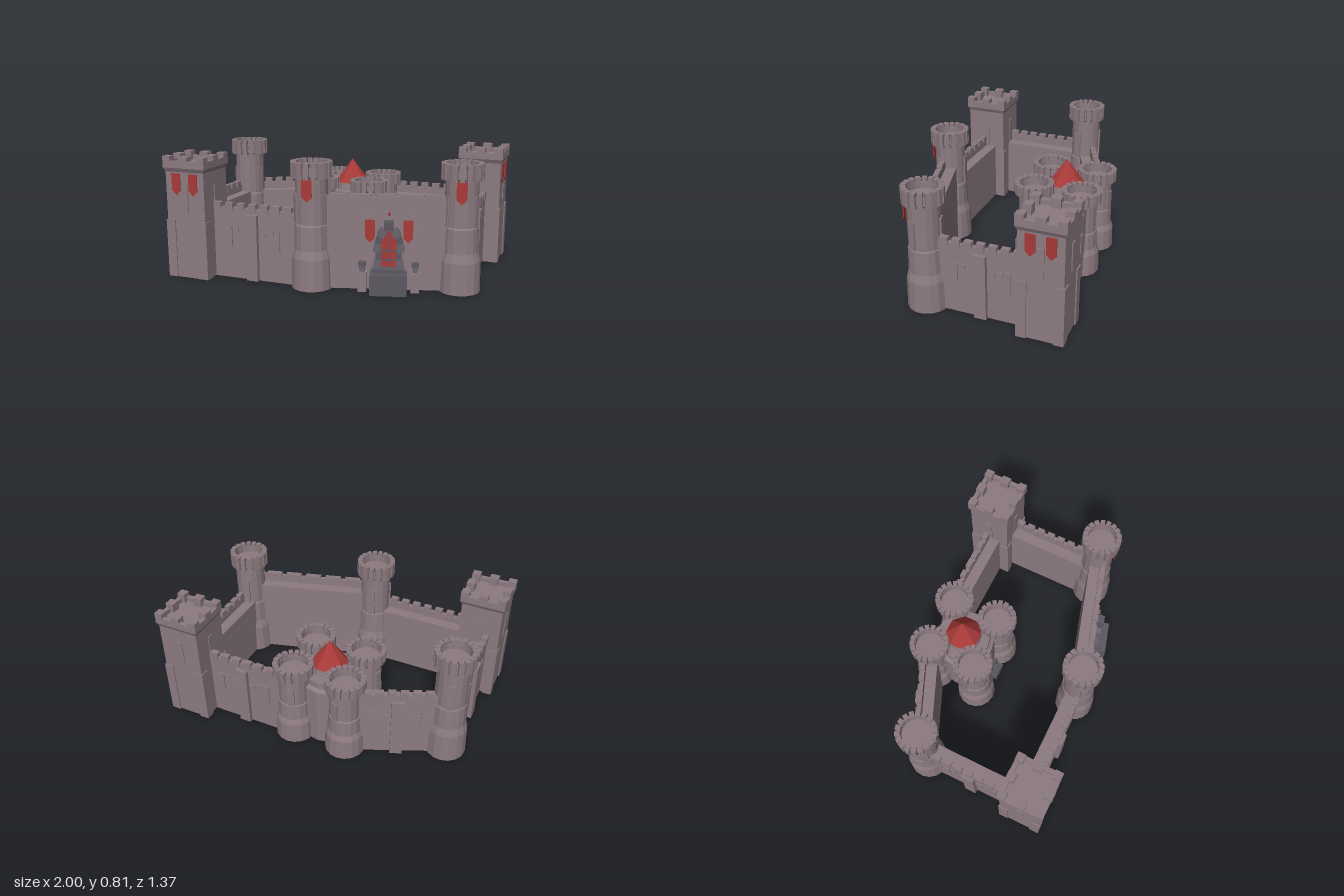
import * as THREE from 'three';

const mat = (name, color, side = THREE.FrontSide) => {
  const m = new THREE.MeshStandardMaterial({ color, side });
  m.name = name;
  return m;
};

export function createModel() {
  const stone = mat('mauve stone', 0x8c7b80, THREE.DoubleSide);
  const red = mat('banner red', 0xa83a38, THREE.DoubleSide);
  const slate = mat('dark slate', 0x5b5861);
  const trim = mat('grey trim', 0x6b656d);
  const castle = new THREE.Group();
  castle.name = 'castle';

  const group = (parent, name, x = 0, y = 0, z = 0, ry = 0) => {
    const g = new THREE.Group();
    g.name = name;
    g.position.set(x, y, z);
    g.rotation.y = ry;
    parent.add(g);
    return g;
  };
  const add = (parent, name, geo, material, x = 0, y = 0, z = 0) => {
    const flat = geo.index ? geo.toNonIndexed() : geo;
    flat.computeVertexNormals();
    const m = new THREE.Mesh(flat, material);
    m.name = name;
    m.position.set(x, y, z);
    parent.add(m);
    return m;
  };
  // Box given by its centre in x and z and by its bottom and top heights
  const box = (parent, name, material, x, z, w, d, y0, y1) =>
    add(parent, name, new THREE.BoxGeometry(w, y1 - y0, d), material, x, (y0 + y1) / 2, z);
  const lathe = (parent, name, pts, sides, material = stone) =>
    add(parent, name, new THREE.LatheGeometry(pts.map(p => new THREE.Vector2(...p)), sides), material);

  // Thin hanging banner with a pointed tail
  const banner = (parent, x, top, z, w = 0.062, h = 0.14) => {
    const s = new THREE.Shape();
    s.moveTo(-w / 2, 0);
    s.lineTo(-w / 2, -h * 0.78);
    s.lineTo(0, -h);
    s.lineTo(w / 2, -h * 0.78);
    s.lineTo(w / 2, 0);
    add(parent, 'banner', new THREE.ExtrudeGeometry(s, { depth: 0.006, bevelEnabled: false }), red, x, top, z);
  };

  // Round tower: flared foot, shaft, hollow crown with corbelled merlons
  const roundTower = (name, x, z, height, facing, hasBanner) => {
    const t = group(castle, name, x, 0, z, facing);
    const k = height / 0.81;
    const crown = height - 0.1 * (k < 1 ? 0.75 : 1);
    lathe(t, 'towerShaft', [
      [0.095, 0.25 * k], [0.11, 0], [0.133, 0], [0.128, 0.2 * k], [0.113, 0.255 * k],
      [0.109, 0.41 * k], [0.103, 0.42 * k], [0.103, crown], [0.116, crown + 0.012],
      [0.116, height - 0.028], [0.097, height - 0.028], [0.097, height - 0.065], [0, height - 0.065],
    ], 16);
    for (let i = 0; i < 18; i++) {
      const m = group(t, 'merlon', 0, 0, 0, (i / 18) * Math.PI * 2);
      box(m, 'merlonBlock', stone, 0, 0.114, 0.03, 0.034, crown, height);
    }
    for (const a of [-1.05, 1.05, Math.PI]) {
      const w = group(t, 'towerWindow', 0, 0, 0, a);
      box(w, 'windowSlab', stone, 0, 0.103, 0.045, 0.014, 0.42 * k, 0.61 * k);
    }
    if (hasBanner) banner(t, 0, 0.71, 0.113, 0.065);
  };

  // Square tower with buttressed foot and jutting battlements
  const squareTower = (name, x, z, facing) => {
    const t = group(castle, name, x, 0, z, facing);
    box(t, 'body', stone, 0, 0, 0.28, 0.28, 0.01, 0.72);
    box(t, 'footing', stone, 0, 0, 0.26, 0.26, 0, 0.02);
    for (const sx of [-1, 1]) for (const sz of [-1, 1])
      box(t, 'cornerButtress', stone, sx * 0.115, sz * 0.115, 0.065, 0.065, 0.005, 0.39);
    const flare = new THREE.CylinderGeometry(0.152 * Math.SQRT2, 0.14 * Math.SQRT2, 0.025, 4);
    flare.rotateY(Math.PI / 4);
    add(t, 'corbel', flare, stone, 0, 0.7225, 0);
    box(t, 'platform', stone, 0, 0, 0.304, 0.304, 0.735, 0.75);
    for (let i = 0; i < 4; i++) {
      const s = group(t, 'battlementSide', 0, 0, 0, i * Math.PI / 2);
      box(s, 'parapet', stone, 0, 0.137, 0.304, 0.03, 0.75, 0.78);
      box(s, 'middleMerlon', stone, 0, 0.125, 0.06, 0.054, 0.75, 0.81);
      box(s, 'cornerMerlon', stone, 0.125, 0.125, 0.054, 0.054, 0.75, 0.81);
      box(s, 'arrowWindow', stone, 0, 0.14, 0.042, 0.012, 0.44, 0.62);
    }
    for (const sx of [-1, 1]) banner(t, sx * 0.062, 0.7, 0.141);
  };

  // Curtain wall running from a to b, outside on local +z
  const wall = (name, ax, az, bx, bz, top, merlonWidth, count) => {
    const len = Math.hypot(bx - ax, bz - az);
    const w = group(castle, name, (ax + bx) / 2, 0, (az + bz) / 2, Math.atan2(az - bz, bx - ax));
    box(w, 'wallBody', stone, 0, 0, len + 0.06, 0.1, 0.005, top - 0.05);
    box(w, 'parapet', stone, 0, 0.038, len + 0.06, 0.028, top - 0.05, top);
    for (let i = 0; i < count; i++)
      box(w, 'merlon', stone, ((i + 0.5) / count - 0.5) * len, 0.04, merlonWidth, 0.036,
        top - 0.02, top + (merlonWidth > 0.08 ? 0.015 : 0.03));
    return w;
  };
  const brick = (w, x, y) => box(w, 'raisedBrick', stone, x, 0.05, 0.042, 0.014, y - 0.014, y + 0.014);
  const dressWall = (w) => {
    box(w, 'pilaster', stone, 0, 0.06, 0.08, 0.035, 0.005, 0.44);
    for (const s of [-1, 1]) {
      box(w, 'wallWindow', stone, s * 0.172, 0.05, 0.042, 0.016, 0.215, 0.35);
      brick(w, s * 0.125, 0.335);
      brick(w, s * 0.07, 0.315);
    }
  };

  // Gate: slate landing, pointed red door and a ring of arch stones
  const gate = (parent, x, z, scale) => {
    const g = group(parent, 'gate', x, 0, z);
    g.scale.setScalar(scale);
    box(g, 'landing', slate, 0, 0.055, 0.23, 0.13, 0, 0.135);
    box(g, 'landingCap', slate, 0, 0.04, 0.2, 0.1, 0.135, 0.16);
    const s = new THREE.Shape();
    s.moveTo(-0.062, 0.15);
    s.lineTo(0.062, 0.15);
    s.lineTo(0.06, 0.3);
    s.quadraticCurveTo(0.04, 0.37, 0, 0.41);
    s.quadraticCurveTo(-0.04, 0.37, -0.06, 0.3);
    add(g, 'door', new THREE.ExtrudeGeometry(s, { depth: 0.02, bevelEnabled: false }), red);
    for (const y of [0.2, 0.26]) box(g, 'doorBand', slate, 0, 0.022, 0.1, 0.006, y, y + 0.01);
    box(g, 'doorSeam', slate, 0, 0.022, 0.006, 0.006, 0.15, 0.38);
    const stones = [[0.07, 0.185, 0], [0.062, 0.235, 0], [0.072, 0.285, 0.08], [0.062, 0.335, 0.3], [0.042, 0.38, 0.5]];
    for (const sx of [-1, 1]) stones.forEach(([px, py, tilt], i) => {
      const m = add(g, 'archStone', new THREE.BoxGeometry(i % 2 ? 0.036 : 0.046, 0.05, i % 2 ? 0.045 : 0.055),
        i % 2 ? slate : trim, sx * px, py, 0.025);
      m.rotation.z = sx * tilt;
    });
    box(g, 'keystone', slate, 0, 0.03, 0.06, 0.065, 0.4, 0.455);
    const finial = add(g, 'finial', new THREE.OctahedronGeometry(0.014), red, 0, 0.495, 0.008);
    finial.scale.set(0.7, 1.2, 0.5);
    return g;
  };

  // Outer towers
  squareTower('frontSquareTower', -0.848, 0.532, 0);
  squareTower('backSquareTower', 0.848, -0.532, Math.PI / 2);
  roundTower('frontRoundTower', -0.03, 0.512, 0.81, 0.14, true);
  roundTower('sideRoundTower', 0.86, 0.248, 0.81, 0.2, true);
  roundTower('backRoundTower', -0.863, -0.233, 0.81, -Math.PI * 0.6, false);

  // Plain curtain walls
  dressWall(wall('frontWall', -0.72, 0.51, -0.13, 0.51, 0.48, 0.052, 7));
  dressWall(wall('leftSideWall', 0.84, 0.15, 0.84, -0.4, 0.48, 0.052, 7));
  dressWall(wall('backWall', 0.71, -0.507, 0.21, -0.507, 0.48, 0.052, 6));
  dressWall(wall('slantedBackWall', -0.345, -0.46, -0.775, -0.273, 0.48, 0.052, 6));
  dressWall(wall('rightSideWall', -0.863, -0.135, -0.863, 0.4, 0.48, 0.052, 7));

  // Tall gate wall
  const gw = wall('gateWall', 0.066, 0.482, 0.764, 0.278, 0.6, 0.11, 5);
  gate(gw, 0.022, 0.05, 1);
  for (const s of [-1, 1]) {
    banner(gw, 0.022 + s * 0.118, 0.455, 0.053, 0.06, 0.145);
    brick(gw, 0.022 + s * 0.22, 0.415);
    brick(gw, 0.022 + s * 0.14, 0.485);
    const p = group(gw, 'gatePost', 0.022 + s * 0.165, 0, 0.075);
    box(p, 'postBase', stone, 0, 0, 0.055, 0.05, 0, 0.13);
    box(p, 'postNeck', trim, 0, 0, 0.034, 0.034, 0.13, 0.165);
    box(p, 'postCap', slate, 0, 0, 0.046, 0.044, 0.165, 0.19);
  }

  // Keep: four round towers about a stepped core with a pointed roof
  const kx = -0.073, kz = -0.335;
  for (const sx of [-1, 1]) for (const sz of [-1, 1])
    roundTower('keepTower', kx + sx * 0.182, kz + sz * 0.164, 0.578, Math.atan2(sx, sz), false);
  const keep = group(castle, 'keepCore', kx, 0, kz);
  lathe(keep, 'coreBody', [[0.205, 0], [0.205, 0.42], [0.18, 0.435], [0.18, 0.48], [0.12, 0.48], [0.11, 0.53], [0, 0.53]], 16);
  add(keep, 'pointedRoof', new THREE.ConeGeometry(0.122, 0.165, 8), red, 0, 0.6125, 0).rotation.y = Math.PI / 8;
  gate(keep, 0, 0.205, 0.48);

  return castle;
}
